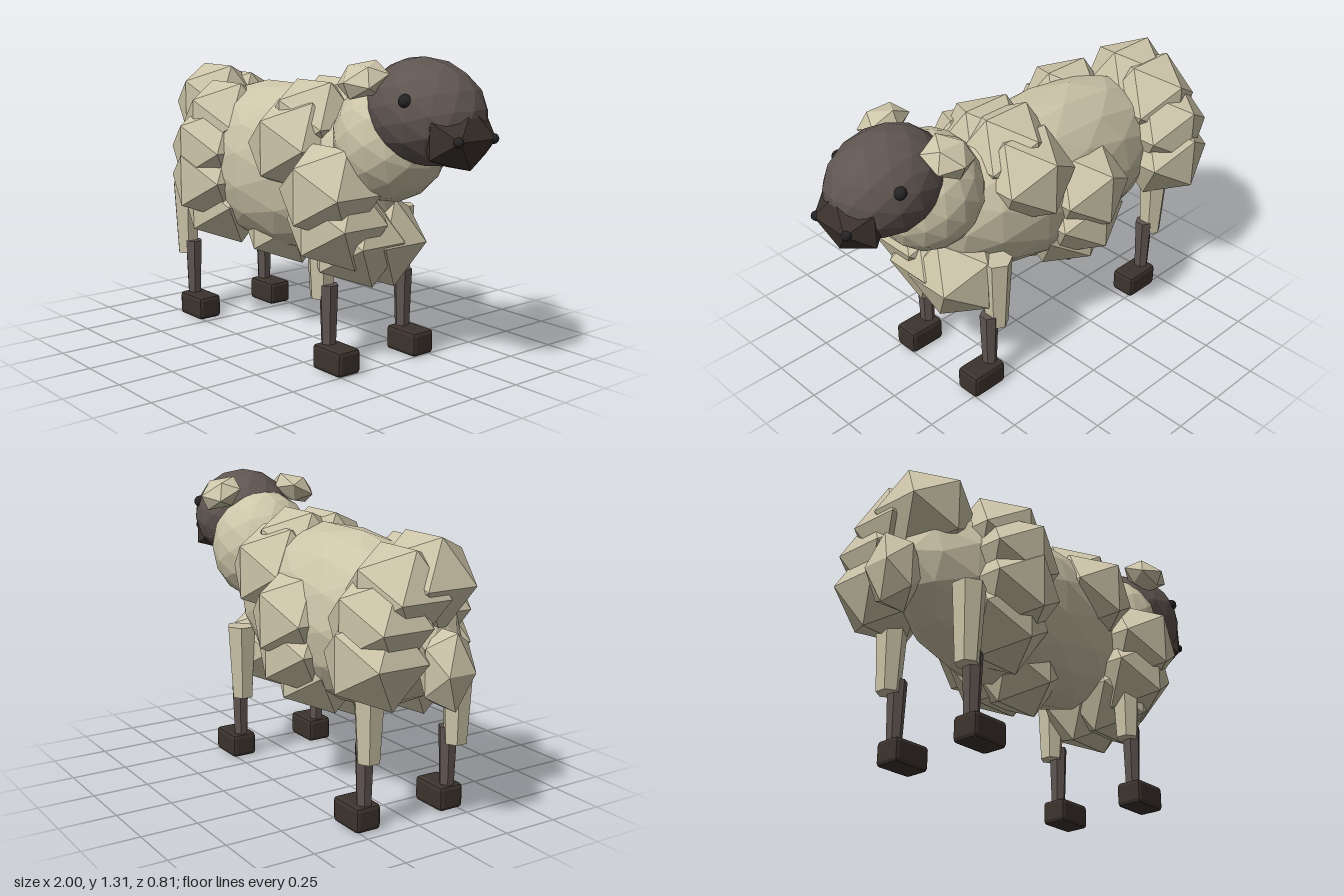
import * as THREE from 'three';
import { RoundedBoxGeometry } from 'three/addons/geometries/RoundedBoxGeometry.js';

function material(name, color) {
  const m = new THREE.MeshStandardMaterial({ color, flatShading: true });
  m.name = name;
  return m;
}

export function createModel() {
  const wool = material('wool', 0xcdc5a9);
  const skin = material('dark skin', 0x5f5551);
  const hoofBrown = material('hoof brown', 0x3c332d);
  const black = material('eye black', 0x262424);

  const model = new THREE.Group();
  model.name = 'sheep';

  function add(name, geometry, mat, pos, parent = model) {
    const mesh = new THREE.Mesh(geometry, mat);
    mesh.name = name;
    mesh.position.set(...pos);
    parent.add(mesh);
    return mesh;
  }

  // Faceted ellipsoid
  function blob(name, mat, pos, radii, detail = 0, parent = model) {
    const mesh = add(name, new THREE.IcosahedronGeometry(1, detail), mat, pos, parent);
    mesh.scale.set(...radii);
    return mesh;
  }

  // Trunk, neck and tail
  blob('body', wool, [-0.18, 0.78, 0], [0.72, 0.38, 0.3], 2);
  blob('neck', wool, [0.51, 0.97, 0], [0.24, 0.26, 0.24], 2);
  blob('tail', wool, [-0.9, 0.695, 0], [0.117, 0.182, 0.12]);

  // Fleece tufts spiralling around the trunk in five columns
  const fleece = new THREE.Group();
  fleece.name = 'fleece';
  model.add(fleece);
  for (let i = 0; i < 20; i++) {
    const a = THREE.MathUtils.degToRad(i * 137.5);
    const pos = [-0.74 + (i % 5) * 0.281, 0.767 + 0.243 * Math.cos(a), 0.22 * Math.sin(a)];
    blob('tuft', wool, pos, [0.22, 0.22, 0.22], 0, fleece);
  }

  // Head and muzzle
  const head = blob('head', skin, [0.71, 1.1, 0], [0.265, 0.212, 0.22], 2);
  head.rotation.z = -0.2;
  blob('muzzle', hoofBrown, [0.89, 1.015, 0], [0.122, 0.14, 0.182]);

  for (const side of [1, -1]) {
    // Ears droop outwards
    const ear = blob('ear', wool, [0.556, 1.225, side * 0.195], [0.113, 0.07, 0.11]);
    ear.rotation.x = side * 0.45;
    blob('eye', black, [0.79, 1.16, side * 0.188], [0.028, 0.028, 0.028], 1);
    blob('nostril', black, [0.982, 1.015, side * 0.095], [0.021, 0.021, 0.021], 1);

    // Legs
    for (const x of [-0.7, 0.33]) {
      const leg = new THREE.Group();
      leg.name = x > 0 ? 'frontLeg' : 'hindLeg';
      leg.position.set(x, 0, side * 0.21);
      model.add(leg);
      add('upperLeg', new THREE.CylinderGeometry(0.07, 0.05, 0.34, 6), wool, [0, 0.472, side * 0.008], leg);
      add('shank', new THREE.CylinderGeometry(0.042, 0.032, 0.28, 6), skin, [0.04, 0.225, 0], leg);
      add('hoof', new RoundedBoxGeometry(0.18, 0.11, 0.12, 1, 0.018), hoofBrown, [0.09, 0.055, 0], leg);
    }
  }
  return model;
}
